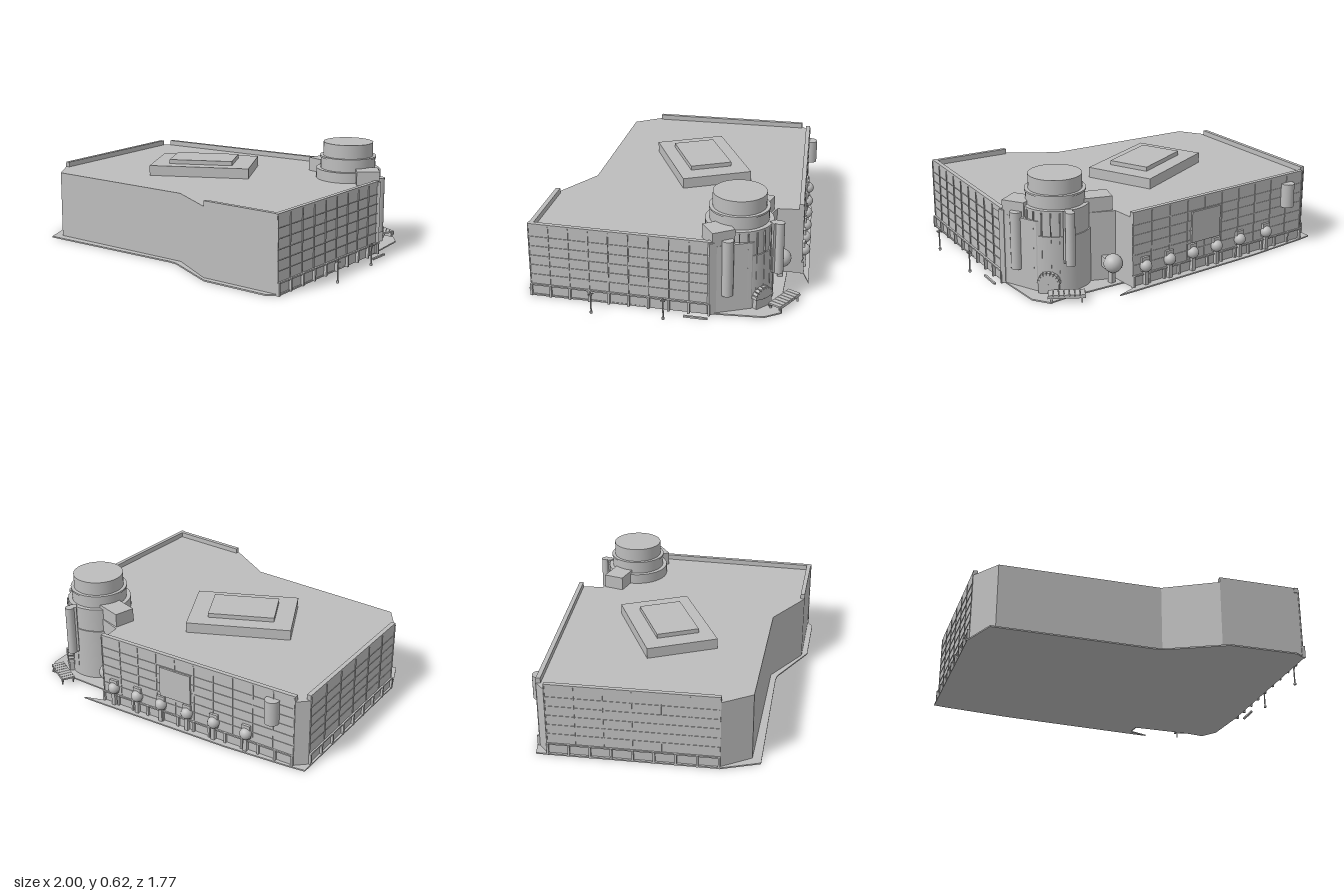
import * as THREE from 'three';

const grey = new THREE.MeshStandardMaterial({ color: 0xbdbdbd });
grey.name = 'light grey';

function add(parent, geo, name, x = 0, y = 0, z = 0, ry = 0) {
  const m = new THREE.Mesh(geo, grey);
  m.name = name;
  m.position.set(x, y, z);
  m.rotation.y = ry;
  parent.add(m);
  return m;
}

// Box given by its bottom height
const box = (parent, name, w, h, d, x, y0, z, ry = 0) =>
  add(parent, new THREE.BoxGeometry(w, h, d), name, x, y0 + h / 2, z, ry);

const drum = (parent, name, r, y0, y1, x, z, seg = 40) =>
  add(parent, new THREE.CylinderGeometry(r, r, y1 - y0, seg), name, x, (y0 + y1) / 2, z);

// Upright prism from a plan outline of [x, z] points
function prism(parent, name, pts, y0, y1) {
  const shape = new THREE.Shape(pts.map(([x, z]) => new THREE.Vector2(x, -z)));
  const geo = new THREE.ExtrudeGeometry(shape, { depth: y1 - y0, bevelEnabled: false });
  geo.rotateX(-Math.PI / 2);
  return add(parent, geo, name, 0, y0, 0);
}

// Group along a wall: local x runs from p to q, local z points outward
function facade(parent, name, p, q) {
  const g = new THREE.Group();
  const dx = q[0] - p[0], dz = q[1] - p[1];
  g.name = name;
  g.position.set(p[0], 0, p[1]);
  g.rotation.y = Math.atan2(-dz, dx);
  g.userData.length = Math.hypot(dx, dz);
  parent.add(g);
  return g;
}

// Parapet, panel joints, base beam and posts on one wall
function dress(g, joints, rows, posts) {
  const L = g.userData.length;
  box(g, 'parapet', L, 0.03, 0.025, L / 2, 0.4, -0.0125);
  for (let i = 0; i <= joints; i++)
    box(g, 'panelJoint', 0.005, 0.345, 0.006, 0.004 + (L - 0.008) * i / joints, 0.075, 0.001);
  for (let i = 1; i <= rows; i++)
    box(g, 'panelRow', L, 0.003, 0.004, L / 2, 0.07 + 0.34 * i / (rows + 1), 0.001);
  box(g, 'baseBeam', L, 0.008, 0.012, L / 2, 0.062, 0.003);
  for (let i = 0; i <= posts; i++)
    box(g, 'basePost', 0.012, 0.07, 0.02, 0.006 + (L - 0.012) * i / posts, 0, 0.004);
}

export function createModel() {
  const model = new THREE.Group();
  model.name = 'building';

  // Ground sheet
  prism(model, 'groundSheet', [
    [-0.78, -0.88], [-0.7, -0.875], [-0.31, -0.83], [0.55, -0.685], [0.63, -0.67], [0.5, -0.655],
    [0.49, -0.57], [0.84, -0.49], [0.95, -0.48], [0.99, -0.38], [0.94, -0.1], [0.69, 0.86],
    [0.62, 0.88], [0.24, 0.78], [-0.03, 0.55], [-0.08, 0.53], [-0.97, 0.32], [-1, 0.1],
  ], 0, 0.008);

  // Main hall
  prism(model, 'mainHall', [
    [-0.78, -0.82], [-0.71, -0.86], [0.51, -0.645], [0.49, -0.5], [0.62, -0.42], [0.8, -0.43],
    [0.9, -0.32], [0.945, -0.1], [0.68, 0.86], [0.22, 0.74], [-0.02, 0.51], [-0.92, 0.28], [-0.988, 0.1],
  ], 0.005, 0.4);

  // Roof steps
  box(model, 'roofStep', 0.595, 0.06, 0.41, -0.145, 0.4, -0.125, 0.22);
  box(model, 'roofStepTop', 0.38, 0.025, 0.245, -0.147, 0.46, -0.12, 0.22);

  // Dressed walls
  const right = facade(model, 'rightWall', [0.68, 0.865], [0.948, -0.1]);
  dress(right, 9, 5, 9);
  const left = facade(model, 'leftWall', [-0.78, -0.82], [-0.988, 0.1]);
  dress(left, 6, 5, 8);
  const back = facade(model, 'backWall', [0.51, -0.645], [-0.71, -0.86]);
  dress(back, 10, 5, 12);
  const front = facade(model, 'frontParapet', [0.22, 0.74], [0.68, 0.86]);
  const fl = front.userData.length;
  box(front, 'parapet', fl, 0.03, 0.025, fl / 2, 0.4, -0.0125);

  // Round lamps on blocks along the back wall
  const ball = new THREE.SphereGeometry(0.034, 16, 12);
  for (const x of [0.43, 0.27, 0.11, -0.06, -0.23, -0.43]) {
    const u = (0.51 - x) / 0.985;
    add(back, ball, 'wallGlobe', u, 0.115, 0.012);
    box(back, 'globeBracket', 0.05, 0.08, 0.02, u, 0.085, 0.005);
    box(back, 'globePost', 0.022, 0.09, 0.022, u, 0, 0.012);
  }
  drum(back, 'wallDrum', 0.04, 0.24, 0.38, 1.11, 0.012, 20);
  box(back, 'raisedPanel', 0.2, 0.18, 0.012, 0.5, 0.17, 0.004);

  // Corner tower
  const tx = 0.713, tz = -0.268;
  drum(model, 'towerBase', 0.185, 0.005, 0.46, tx, tz);
  drum(model, 'towerMiddle', 0.16, 0.46, 0.53, tx, tz);
  drum(model, 'towerRing', 0.165, 0.525, 0.535, tx, tz);
  drum(model, 'towerTop', 0.145, 0.535, 0.615, tx, tz);
  drum(model, 'towerSkirt', 0.192, 0.005, 0.32, tx, tz);
  for (let i = 0; i < 7; i++) {
    const a = -0.35 + i * 0.26;
    box(model, 'towerRib', 0.006, 0.4, 0.008, tx + 0.19 * Math.cos(a), 0.05, tz - 0.19 * Math.sin(a), a + Math.PI / 2);
  }

  // Wings beside the tower
  box(model, 'backWing', 0.2, 0.475, 0.12, 0.555, 0.005, -0.383, -0.49);
  box(model, 'sideWing', 0.13, 0.475, 0.13, 0.864, 0.005, -0.145, 0.36);
  box(model, 'sideWingPier', 0.03, 0.42, 0.03, 0.94, 0.005, -0.1, 0.36);

  // Upright half-round signs
  drum(model, 'uprightSign', 0.032, 0.11, 0.43, 0.925, -0.19, 16);
  drum(model, 'uprightSign', 0.026, 0.17, 0.465, 0.8, -0.475, 16);
  box(model, 'signBracket', 0.04, 0.29, 0.04, 0.79, 0.175, -0.45, 0.4);

  // Large globe in the back corner
  add(model, new THREE.SphereGeometry(0.052, 20, 14), 'cornerGlobe', 0.54, 0.12, -0.53);
  box(model, 'cornerGlobePost', 0.03, 0.1, 0.03, 0.54, 0, -0.52);
  box(model, 'cornerGlobeBracket', 0.06, 0.06, 0.05, 0.54, 0.09, -0.495, -0.4);

  // Fan canopy over the tower door
  const fan = new THREE.Group();
  fan.name = 'doorCanopy';
  fan.position.set(0.868, 0.065, -0.38);
  fan.rotation.y = 0.63;
  for (let i = 0; i < 9; i++) {
    const a = Math.PI * (i + 0.5) / 9;
    const rib = add(fan, new THREE.BoxGeometry(0.05, 0.062, 0.016), 'canopyRib', 0, Math.sin(a) * 0.031, -Math.cos(a) * 0.031);
    rib.rotation.x = a - Math.PI / 2;
  }
  box(fan, 'doorBlock', 0.04, 0.06, 0.11, 0, -0.06, 0);
  model.add(fan);

  // Sloped slatted ramp by the entrance
  const ramp = new THREE.Group();
  ramp.name = 'slattedRamp';
  ramp.position.set(0.86, 0.035, -0.505);
  ramp.rotation.y = -0.72;
  for (let i = 0; i < 7; i++)
    box(ramp, 'slat', 0.025, 0.01, 0.075, -0.084 + i * 0.028, 0.0, 0);
  for (const s of [-1, 1]) {
    box(ramp, 'rail', 0.2, 0.012, 0.006, 0, -0.01, s * 0.033);
    for (const x of [-0.08, 0.08]) box(ramp, 'leg', 0.008, 0.03, 0.008, x, -0.035, s * 0.033);
  }
  model.add(ramp);

  // Lamp posts with crossed arms
  for (const [x, z] of [[0.98, 0.15], [0.9, 0.53]]) {
    drum(model, 'lampPost', 0.004, 0, 0.13, x, z, 8);
    for (const a of [0.5, 0.5 + Math.PI / 2]) box(model, 'lampArm', 0.032, 0.006, 0.005, x, 0.112, z, a);
    drum(model, 'lampFoot', 0.008, 0, 0.012, x, z, 8);
  }

  // Low kerb strip in front of the side wing
  box(model, 'kerbStrip', 0.13, 0.01, 0.012, 0.977, 0, -0.02, 1.3);
  return model;
}
